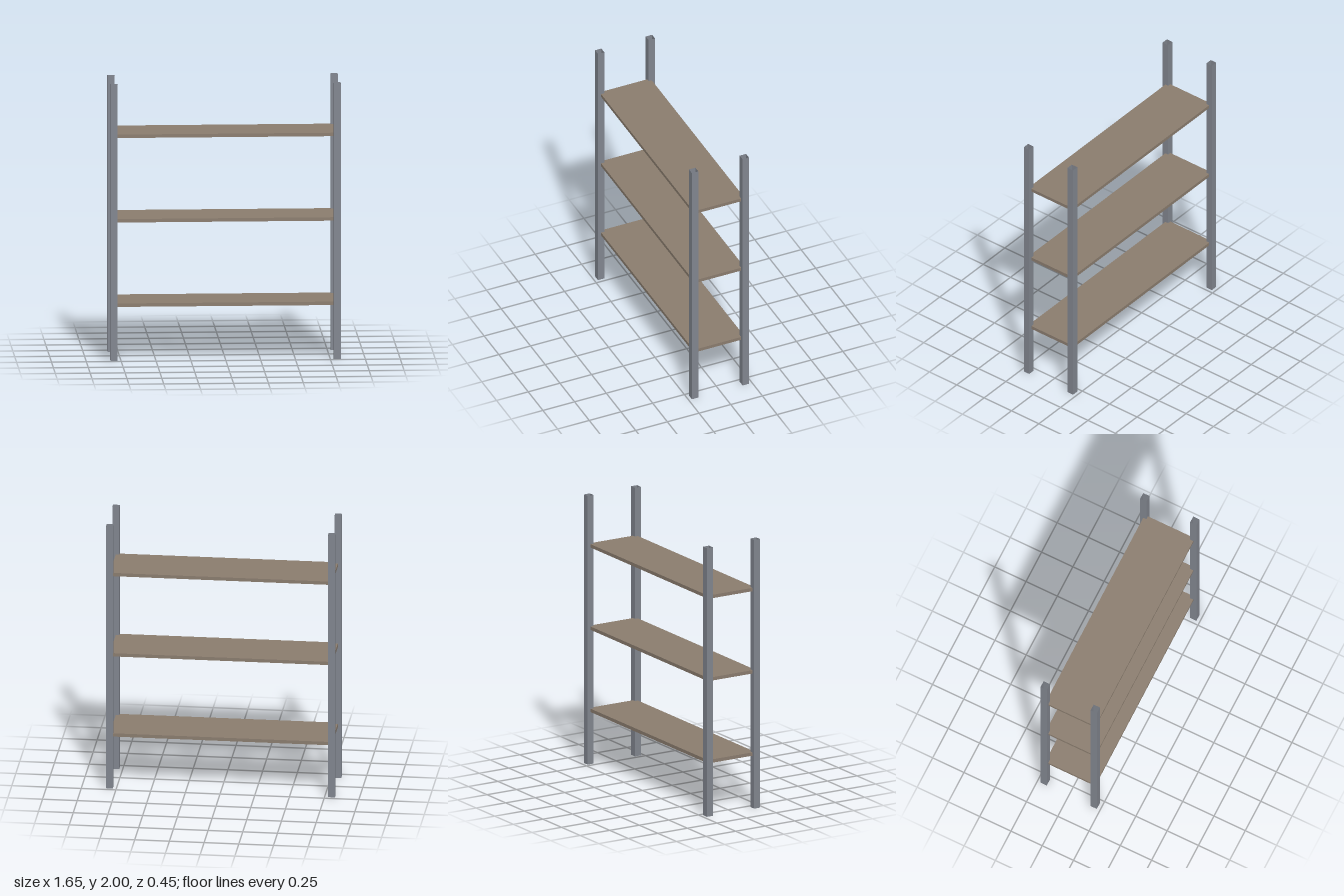
import * as THREE from 'three';

export function createModel() {
  const group = new THREE.Group();
  const steel = new THREE.MeshStandardMaterial({ name: 'greySteel', color: 0x80858e, side: THREE.DoubleSide });
  const board = new THREE.MeshStandardMaterial({ name: 'brownBoard', color: 0x8a7c6e });

  // Open square tube: four sides, no end caps
  const width = 0.05;
  const tube = new THREE.CylinderGeometry(width / Math.SQRT2, width / Math.SQRT2, 2, 4, 1, true)
    .rotateY(Math.PI / 4)
    .toNonIndexed();
  tube.computeVertexNormals();

  // Four corner posts
  for (const [x, side] of [[-0.8, 'right'], [0.8, 'left']]) {
    for (const [z, end] of [[0.2, 'Front'], [-0.2, 'Back']]) {
      const post = new THREE.Mesh(tube, steel);
      post.name = `${side}${end}Post`;
      post.position.set(x, 1, z);
      group.add(post);
    }
  }

  // Three shelves whose corners run into the middle of the posts
  const shelfGeometry = new THREE.BoxGeometry(1.6, 0.025, 0.4);
  [['lowerShelf', 0.4], ['middleShelf', 1.012], ['upperShelf', 1.625]].forEach(([name, y]) => {
    const shelf = new THREE.Mesh(shelfGeometry, board);
    shelf.name = name;
    shelf.position.y = y;
    group.add(shelf);
  });

  return group;
}
